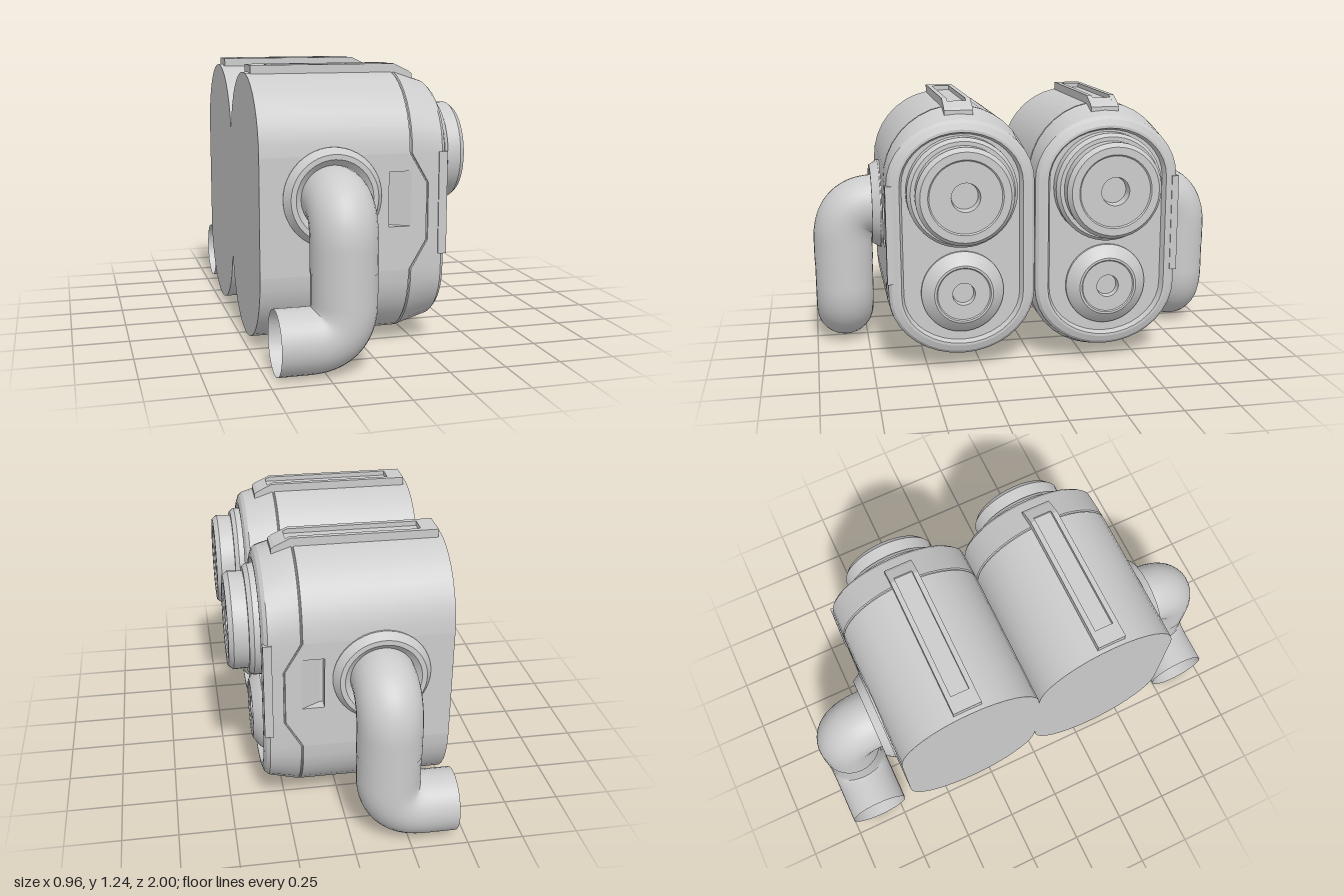
import * as THREE from 'three';
import { toCreasedNormals } from 'three/addons/utils/BufferGeometryUtils.js';

const grey = new THREE.MeshStandardMaterial({ color: 0xcccccc });
const greyThin = new THREE.MeshStandardMaterial({ color: 0xcccccc, side: THREE.DoubleSide });

const ZC = 0.338;      // pod centre line
const YC = 0.622;      // pod mid height
const STRAIGHT = 0.255; // half height of the flat pod sides
const SIDE = 0.676;    // outer flat side of a pod
const V3 = (x, y, z) => new THREE.Vector3(x, y, z);

// Stadium cross-section; the notch pushes the middle of the flat sides forward
function section({ x, w, h, notch = 0, k = 1 }) {
  const pts = [];
  const add = (y, z, push = 0) => pts.push([x + push * notch, YC + y * k, ZC + z * k]);
  const arc = (from) => {
    for (let i = 0; i <= 18; i++) {
      const a = from + (Math.PI * i) / 18;
      add(Math.sign(Math.PI - from - 0.1) * STRAIGHT + (h - STRAIGHT) * Math.sin(a), w * Math.cos(a));
    }
  };
  add(-0.125, w, 1);
  add(0.125, w, 1);
  arc(0);
  add(0.125, -w, 1);
  add(-0.125, -w, 1);
  arc(Math.PI);
  return pts;
}

// Skin through sections along x; skip(i, j) leaves quads out
function loft(rings, skip = () => false) {
  const secs = rings.map(section), n = secs[0].length, index = [];
  for (let i = 0; i < secs.length - 1; i++) {
    for (let j = 0; j < n; j++) {
      if (skip(i, j, n)) continue;
      const a = i * n + j, b = i * n + ((j + 1) % n);
      index.push(a, a + n, b, b, a + n, b + n);
    }
  }
  const g = new THREE.BufferGeometry();
  g.setAttribute('position', new THREE.Float32BufferAttribute(secs.flat(2), 3));
  g.setIndex(index);
  return toCreasedNormals(g, 0.3);
}

function lathe(profile, segments = 48) {
  const g = new THREE.LatheGeometry(profile.map(([r, y]) => new THREE.Vector2(r, y)), segments);
  return toCreasedNormals(g, 0.4);
}

// Profile in x, y extruded between two z values
function slab(points, z0, z1) {
  const shape = new THREE.Shape(points.map(([x, y]) => new THREE.Vector2(x, y)));
  return new THREE.ExtrudeGeometry(shape, { depth: z1 - z0, bevelEnabled: false }).translate(0, 0, z0);
}

function box(x0, x1, y0, y1, z0, z1) {
  return new THREE.BoxGeometry(x1 - x0, y1 - y0, z1 - z0)
    .translate((x0 + x1) / 2, (y0 + y1) / 2, (z0 + z1) / 2);
}

function tube(curves, radius, segments) {
  const path = new THREE.CurvePath();
  curves.forEach((c) => path.add(c));
  return new THREE.TubeGeometry(path, segments, radius, 32);
}

// Copy reflected across z = 0 with its winding put right
function mirrored(geometry) {
  const g = geometry.clone().scale(1, 1, -1);
  const n = g.attributes.position.count;
  const idx = g.index ? Array.from(g.index.array) : Array.from({ length: n }, (_, i) => i);
  g.setIndex(idx.reverse());
  return g;
}

function podParts() {
  const parts = [];
  const add = (name, geometry, material = grey) => parts.push({ name, geometry, material });

  // Main body and front shell with the seam groove and recessed face
  const full = { w: 0.338, h: 0.592 }, inset = { w: 0.332, h: 0.586 };
  add('body', loft([
    { x: -0.48, ...full, k: 0 },
    { x: -0.48, ...full },
    { x: 0.178, ...full, notch: 0.077 },
    { x: 0.180, ...inset, notch: 0.077 },
    { x: 0.184, ...inset, notch: 0.077 },
    { x: 0.188, ...full, notch: 0.075 },
    { x: 0.205, w: 0.338, h: 0.586, notch: 0.065 },
    { x: 0.325, w: 0.336, h: 0.545 },
    { x: 0.340, w: 0.322, h: 0.530 },
    { x: 0.350, w: 0.292, h: 0.502 },
    { x: 0.350, w: 0.280, h: 0.490 },
    { x: 0.322, w: 0.268, h: 0.480 },
    { x: 0.322, w: 0.268, h: 0.480, k: 0 },
  ], (i, j, n) => i === 1 && (j < 2 || j === n - 1)));

  // Outer flat side with an opening for the pocket
  const panel = new THREE.Shape([
    [-0.48, -0.255], [0.178, -0.255], [0.255, -0.125], [0.255, 0.125], [0.178, 0.255], [-0.48, 0.255],
  ].map(([x, y]) => new THREE.Vector2(x, YC + y)));
  panel.holes.push(new THREE.Path([[0.085, 0.56], [0.085, 0.8], [0.185, 0.8], [0.185, 0.56]]
    .map(([x, y]) => new THREE.Vector2(x, y))));
  add('sidePanel', new THREE.ShapeGeometry(panel).translate(0, 0, SIDE));

  // Pocket: deep at the rear, ramping out to the front
  const pocket = new THREE.BufferGeometry();
  const d = SIDE - 0.05;
  pocket.setAttribute('position', new THREE.Float32BufferAttribute([
    0.085, 0.56, SIDE, 0.085, 0.8, SIDE, 0.085, 0.56, d, 0.085, 0.8, d,
    0.1, 0.56, d, 0.1, 0.8, d, 0.185, 0.56, SIDE, 0.185, 0.8, SIDE], 3));
  pocket.setIndex([0, 2, 1, 1, 2, 3, 2, 4, 3, 3, 4, 5, 4, 6, 5, 5, 6, 7,
    0, 4, 2, 0, 6, 4, 1, 3, 5, 1, 5, 7]);
  add('sidePocket', toCreasedNormals(pocket, 0.1), greyThin);

  // Narrow plate on the outer edge of the front rim
  add('edgePlate', box(0.31, 0.348, 0.43, 0.88, 0.648, 0.68));

  // Large upper and small lower round housings
  const onFace = (g, y) => g.rotateZ(-Math.PI / 2).translate(0, y, ZC);
  add('upperLens', onFace(lathe([
    [0.25, 0.31], [0.25, 0.372], [0.235, 0.392], [0.217, 0.392], [0.22, 0.458], [0.202, 0.48],
    [0.168, 0.48], [0.162, 0.474], [0.065, 0.474], [0.06, 0.43], [0, 0.43]]), 0.843));
  add('lowerLens', onFace(lathe([
    [0.19, 0.31], [0.19, 0.335], [0.175, 0.352], [0.135, 0.38], [0.125, 0.38],
    [0.12, 0.375], [0.052, 0.375], [0.048, 0.345], [0, 0.345]]), 0.375));

  // Top rail: two strips, end blocks and a sunken floor
  const rail = [[-0.46, 1.19], [0.275, 1.17], [0.275, 1.2], [0.26, 1.212], [0.19, 1.245], [-0.46, 1.245]];
  add('railStrip', slab(rail, 0.273, 0.296));
  add('railStrip', slab(rail, 0.38, 0.403));
  add('railRearEnd', box(-0.46, -0.385, 1.19, 1.245, 0.296, 0.38));
  add('railFrontEnd', slab([[0.21, 1.18], [0.275, 1.17], [0.275, 1.2], [0.26, 1.212], [0.21, 1.2355]], 0.296, 0.38));
  add('railFloor', box(-0.385, 0.21, 1.19, 1.224, 0.296, 0.38));

  // Pipe collar and the two-piece bent pipe, open at its rear end
  const px = -0.165, py = 0.70, pz = 0.857, low = 0.145;
  add('pipeCollar', lathe([[0.215, 0.66], [0.215, 0.682], [0.208, 0.692], [0.19, 0.72], [0.168, 0.72], [0.135, 0.69]])
    .rotateX(Math.PI / 2).translate(px, py, 0));
  add('upperPipe', tube([
    new THREE.LineCurve3(V3(px, py, 0.66), V3(px, py, 0.70)),
    new THREE.QuadraticBezierCurve3(V3(px, py, 0.70), V3(px, py, pz), V3(px, 0.53, pz)),
    new THREE.LineCurve3(V3(px, 0.53, pz), V3(px, 0.425, pz)),
  ], 0.142, 28), greyThin);
  add('lowerPipe', tube([
    new THREE.LineCurve3(V3(px, 0.425, pz), V3(px, 0.30, pz)),
    new THREE.QuadraticBezierCurve3(V3(px, 0.30, pz), V3(px, low, pz), V3(-0.32, low, pz)),
    new THREE.LineCurve3(V3(-0.32, low, pz), V3(-0.458, low, pz)),
  ], 0.14, 28), greyThin);
  return parts;
}

export function createModel() {
  const model = new THREE.Group();
  model.name = 'twinPodUnit';
  const front = new THREE.Group(), back = new THREE.Group();
  front.name = 'frontPod';
  back.name = 'rearPod';
  for (const { name, geometry, material } of podParts()) {
    for (const [group, g] of [[front, geometry], [back, mirrored(geometry)]]) {
      const mesh = new THREE.Mesh(g, material);
      mesh.name = name;
      group.add(mesh);
    }
  }
  model.add(front, back);
  return model;
}
